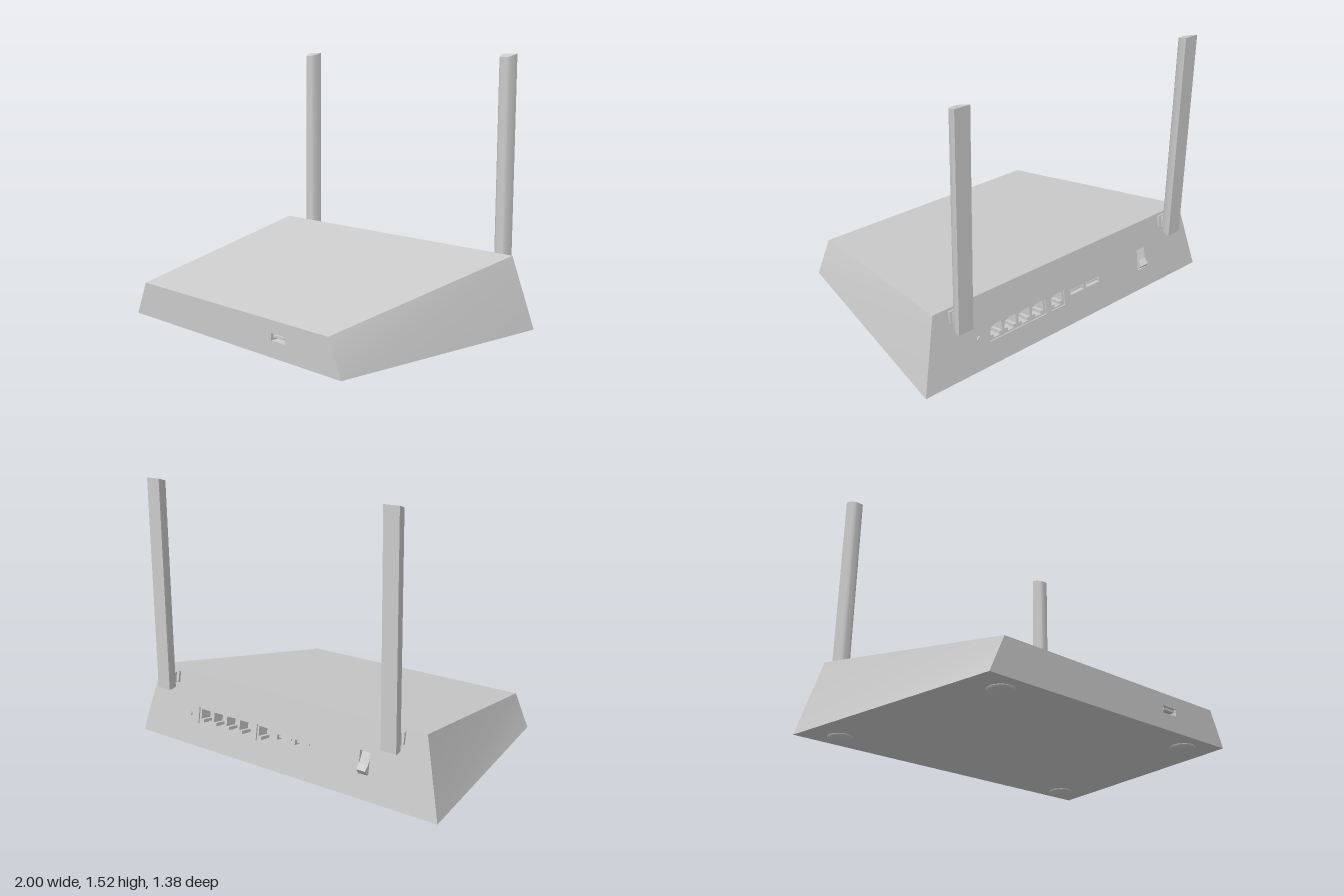
import * as THREE from 'three';
import { toCreasedNormals } from 'three/addons/utils/BufferGeometryUtils.js';

const grey = new THREE.MeshStandardMaterial({ color: 0xcccccc });
const greyDouble = new THREE.MeshStandardMaterial({ color: 0xcccccc, side: THREE.DoubleSide });

function add(parent, name, geometry, x = 0, y = 0, z = 0, material = grey) {
  const mesh = new THREE.Mesh(geometry, material);
  mesh.name = name;
  mesh.position.set(x, y, z);
  parent.add(mesh);
  return mesh;
}

// Four corners, counter-clockwise from outside
function quad(a, b, c, d) {
  const g = new THREE.BufferGeometry();
  g.setAttribute('position', new THREE.Float32BufferAttribute([...a, ...b, ...c, ...d], 3));
  g.setIndex([0, 1, 2, 0, 2, 3]);
  g.computeVertexNormals();
  return g;
}

const outline = (pts) => pts.map(([x, y]) => new THREE.Vector2(x, y));
const rect = (x, y, w, h) => outline([
  [x - w / 2, y - h / 2], [x + w / 2, y - h / 2], [x + w / 2, y + h / 2], [x - w / 2, y + h / 2]]);

// Socket opening with a narrower latch notch at the bottom
function socket(x, y, w, h) {
  const a = w / 2, b = w / 4, top = y + h / 2, low = y - h / 2, step = low + h * 0.25;
  return outline([[x - b, low], [x + b, low], [x + b, step], [x + a, step],
    [x + a, top], [x - a, top], [x - a, step], [x - b, step]]);
}

// Flat panel with openings
function panel(parent, name, points, holes, z = 0) {
  const shape = new THREE.Shape(points);
  shape.holes = holes.map((h) => new THREE.Path(h));
  add(parent, name, new THREE.ShapeGeometry(shape), 0, 0, z);
}

// Walls, and optionally a floor, running inward behind an opening
function pocket(parent, name, points, z, depth, floor = true) {
  const pos = [];
  points.forEach((p, i) => {
    const q = points[(i + 1) % points.length], e = z - depth;
    pos.push(p.x, p.y, z, q.x, q.y, e, q.x, q.y, z, p.x, p.y, z, p.x, p.y, e, q.x, q.y, e);
  });
  const g = new THREE.BufferGeometry();
  g.setAttribute('position', new THREE.Float32BufferAttribute(pos, 3));
  g.computeVertexNormals();
  add(parent, name + 'Walls', g, 0, 0, 0, greyDouble);
  if (floor) add(parent, name + 'Floor', new THREE.ShapeGeometry(new THREE.Shape(points)), 0, 0, z - depth);
}

function createAntenna(x) {
  const g = new THREE.Group();
  g.name = 'antenna';
  g.position.x = x;
  // D-shaped blade, flat at the back, with a sloped tip
  const s = new THREE.Shape();
  s.moveTo(-0.044, 0.07);
  s.lineTo(-0.044, 0.062);
  s.bezierCurveTo(-0.042, 0.035, -0.035, 0.002, -0.016, 0);
  s.lineTo(0.016, 0);
  s.bezierCurveTo(0.035, 0.002, 0.042, 0.035, 0.044, 0.062);
  s.lineTo(0.044, 0.07);
  s.closePath();
  let blade = new THREE.ExtrudeGeometry(s, { depth: 1.17, bevelEnabled: false, curveSegments: 10 });
  blade.rotateX(-Math.PI / 2);
  const p = blade.attributes.position;
  for (let i = 0; i < p.count; i++) if (p.getY(i) > 1) p.setY(i, 1.17 - p.getZ(i) * 0.28);
  blade = toCreasedNormals(blade, 0.6);
  add(g, 'antennaBlade', blade, 0, 0.335, -0.625);
  // Hinge: base plate, stem and knuckle
  const tilt = Math.atan2(0.07, 0.41);
  add(g, 'hingeBase', new THREE.BoxGeometry(0.065, 0.065, 0.016), 0, 0.385, -0.6).rotation.x = tilt;
  add(g, 'hingeStem', new THREE.BoxGeometry(0.028, 0.05, 0.03), 0, 0.385, -0.612);
  add(g, 'hingeKnuckle', new THREE.BoxGeometry(0.05, 0.06, 0.012), 0, 0.385, -0.626);
  return g;
}

export function createModel() {
  const model = new THREE.Group();
  model.name = 'wirelessRouter';

  // Casing: top, bottom and sides
  const corner = (x, y, z) => (side) => [x * side, y, z];
  const bb = corner(1, 0.02, -0.657), bf = corner(0.825, 0.02, 0.69);
  const tb = corner(0.895, 0.43, -0.587), tf = corner(0.74, 0.215, 0.69);
  add(model, 'topCover', quad(tf(-1), tf(1), tb(1), tb(-1)));
  add(model, 'basePlate', quad(bb(-1), bb(1), bf(1), bf(-1)));
  add(model, 'leftSide', quad(bf(1), bb(1), tb(1), tf(1)));
  add(model, 'rightSide', quad(bb(-1), bf(-1), tf(-1), tb(-1)));

  // Front face with one slot
  const front = new THREE.Group();
  front.name = 'frontFace';
  front.position.set(0, 0.02, 0.69);
  model.add(front);
  const slot = rect(0.39, 0.108, 0.1, 0.038);
  panel(front, 'frontPanel', outline([[-0.825, 0], [0.825, 0], [0.74, 0.195], [-0.74, 0.195]]), [slot]);
  pocket(front, 'frontSlot', slot, 0, 0.06);
  add(front, 'frontSlotTongue', new THREE.BoxGeometry(0.08, 0.012, 0.055), 0.39, 0.114, -0.031);

  // Back face, leaning forward; its own x runs opposite to the model's
  const back = new THREE.Group();
  back.name = 'backFace';
  back.position.set(0, 0.02, -0.657);
  back.rotation.set(-Math.atan2(0.07, 0.41), Math.PI, 0, 'YXZ');
  model.add(back);
  const H = Math.hypot(0.41, 0.07), portY = 0.18;
  const rowHole = rect(-0.38, portY, 0.39, 0.092);
  const singleHole = rect(-0.1, portY, 0.1, 0.092);
  const slots = [0.045, 0.165].map((x) => rect(x, 0.188, 0.1, 0.03));
  const switchHole = rect(0.555, 0.187, 0.062, 0.125);
  panel(back, 'backPanel', outline([[-1, 0], [1, 0], [0.895, H], [-0.895, H]]),
    [rowHole, singleHole, ...slots, switchHole]);

  // Network sockets set into shallow frames
  const row = [0, 1, 2, 3].map((i) => socket(-0.38 + (i - 1.5) * 0.095, portY, 0.078, 0.074));
  const single = [socket(-0.1, portY, 0.078, 0.074)];
  for (const [name, hole, ports] of [['socketRow', rowHole, row], ['singleSocket', singleHole, single]]) {
    pocket(back, name + 'Frame', hole, 0, 0.008, false);
    panel(back, name + 'Plate', hole, ports, -0.008);
    ports.forEach((port) => pocket(back, name, port, -0.008, 0.07));
  }

  // Narrow slots with tongues
  slots.forEach((s, i) => {
    pocket(back, 'backSlot', s, 0, 0.06);
    add(back, 'backSlotTongue', new THREE.BoxGeometry(0.08, 0.01, 0.055), 0.045 + i * 0.12, 0.193, -0.031);
  });

  // Rocker switch
  pocket(back, 'switchRecess', switchHole, 0, 0.03);
  const rocker = new THREE.ExtrudeGeometry(new THREE.Shape(outline([
    [-0.03, 0.13], [0, 0.13], [0.028, 0.155], [0.004, 0.185], [-0.016, 0.244], [-0.03, 0.244]])),
  { depth: 0.054, bevelEnabled: false });
  rocker.rotateY(-Math.PI / 2);
  add(back, 'rockerSwitch', rocker, 0.582, 0, 0);

  // Small round button
  const button = new THREE.CylinderGeometry(0.015, 0.015, 0.012, 20);
  button.rotateX(Math.PI / 2);
  add(back, 'resetButton', button, -0.64, 0.18, 0.002);

  // Antennas
  model.add(createAntenna(-0.743), createAntenna(0.773));

  // Shallow domed feet
  for (const [x, z] of [[0.8, -0.525], [0.645, 0.56]]) {
    for (const side of [-1, 1]) {
      const dome = new THREE.SphereGeometry(0.067, 28, 8, 0, Math.PI * 2, Math.PI / 2, Math.PI / 2);
      dome.scale(1, 0.02 / 0.067, 1);
      add(model, 'foot', dome, x * side, 0.02, z);
    }
  }
  return model;
}
